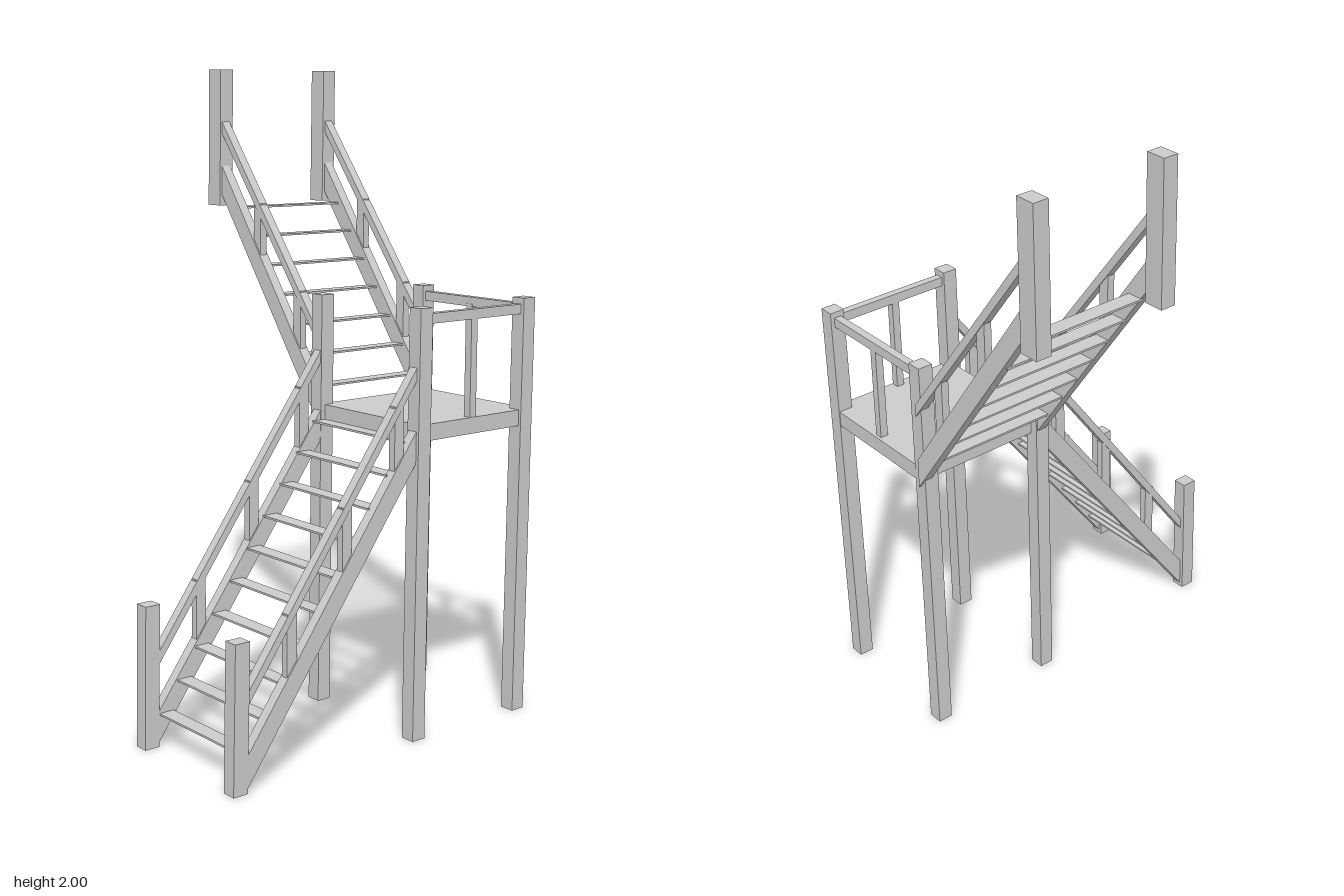
import * as THREE from 'three';

const grey = new THREE.MeshStandardMaterial({ color: 0xcccccc, flatShading: true });
const X = new THREE.Vector3(1, 0, 0), Y = new THREE.Vector3(0, 1, 0), Z = new THREE.Vector3(0, 0, 1);

// Straight timber from a to b; its ends are cut parallel to the two section axes
function beam(name, a, b, axisP, p, axisQ, q) {
  const from = new THREE.Vector3(...a), to = new THREE.Vector3(...b);
  const dir = to.clone().sub(from), mid = from.add(to).multiplyScalar(0.5);
  let P = axisP.clone().multiplyScalar(p), Q = axisQ.clone().multiplyScalar(q);
  if (dir.dot(P.clone().cross(Q)) < 0) [P, Q] = [Q, P];
  const geo = new THREE.BoxGeometry(1, 1, 1);
  geo.applyMatrix4(new THREE.Matrix4().makeBasis(dir, P, Q).setPosition(mid));
  const mesh = new THREE.Mesh(geo, grey);
  mesh.name = name;
  return mesh;
}

const post = (name, x0, y0, x1, y1, z, w, d) => beam(name, [x0, y0, z], [x1, y1, z], X, w, Z, d);

function board(name, x, y, z, w, h, d) {
  const mesh = new THREE.Mesh(new THREE.BoxGeometry(w, h, d), grey);
  mesh.name = name;
  mesh.position.set(x, y, z);
  return mesh;
}

// One side of a flight: stringer, handrail and balusters between two points.
// bottom and top lie on the stringer centre line; side is the thickness axis.
function flightSide(bottom, top, railBottom, railTop, side, fractions) {
  const g = new THREE.Group();
  g.name = 'flightSide';
  g.add(beam('stringer', bottom, top, Y, 0.095, side, 0.033));
  g.add(beam('handrail', railBottom, railTop, Y, 0.038, side, 0.03));
  const run = side === Z ? X : Z;
  const at = (a, b, t) => a.map((v, i) => v + (b[i] - v) * t);
  for (const t of fractions) {
    g.add(beam('baluster', at(bottom, top, t), at(railBottom, railTop, t), run, 0.035, side, 0.024));
  }
  return g;
}

export function createModel() {
  const model = new THREE.Group();
  model.name = 'staircase';

  // Landing: four tall, slightly leaning posts and a slab
  const landing = new THREE.Group();
  landing.name = 'landing';
  for (const z of [0.043, 0.49]) {
    landing.add(post('landingPost', 0.111, 0, 0.121, 1.31, z, 0.048, 0.048));
    landing.add(post('landingPost', 0.537, 0, 0.546, 1.31, z, 0.048, 0.048));
  }
  landing.add(board('platform', 0.338, 0.94, 0.275, 0.455, 0.05, 0.46));

  // Landing railings on the front and outer side
  landing.add(board('frontRail', 0.333, 1.276, 0.49, 0.42, 0.03, 0.025));
  landing.add(board('frontBaluster', 0.325, 1.115, 0.49, 0.025, 0.31, 0.025));
  landing.add(board('sideRail', 0.545, 1.276, 0.267, 0.025, 0.03, 0.44));
  landing.add(board('sideBaluster', 0.543, 1.115, 0.27, 0.025, 0.31, 0.025));
  model.add(landing);

  // Lower flight, climbing along +x
  const lower = new THREE.Group();
  lower.name = 'lowerFlight';
  for (const [z0, z1, zPost] of [[0.057, 0.048, 0.051], [0.495, 0.487, 0.49]]) {
    lower.add(post('newelPost', -0.557, 0, -0.548, 0.44, zPost, 0.05, 0.046));
    lower.add(flightSide([-0.54, 0.05, z0], [0.12, 0.935, z1],
      [-0.54, 0.256, z0], [0.12, 1.15, z1], Z, [0.258, 0.565, 0.865]));
  }
  for (let i = 0; i < 10; i++) {
    lower.add(board('tread', -0.503 + i * 0.066, 0.1 + i * 0.0906, 0.271, 0.05, 0.006, 0.42));
  }
  model.add(lower);

  // Upper flight, climbing towards the back
  const upper = new THREE.Group();
  upper.name = 'upperFlight';
  for (const [x0, x1, p0, p1] of [[0.121, 0.113, 0.113, 0.119], [0.559, 0.55, 0.549, 0.554]]) {
    upper.add(post('topPost', p0, 1.56, p1, 2, -0.483, 0.05, 0.064));
    upper.add(flightSide([x0, 0.95, 0.04], [x1, 1.655, -0.46],
      [x0, 1.165, 0.04], [x1, 1.825, -0.46], X, [0.22, 0.62]));
  }
  for (let i = 0; i < 7; i++) {
    upper.add(board('tread', 0.335, 1.013 + i * 0.0903, -0.006 - i * 0.066, 0.43, 0.006, 0.05));
  }
  model.add(upper);

  return model;
}
